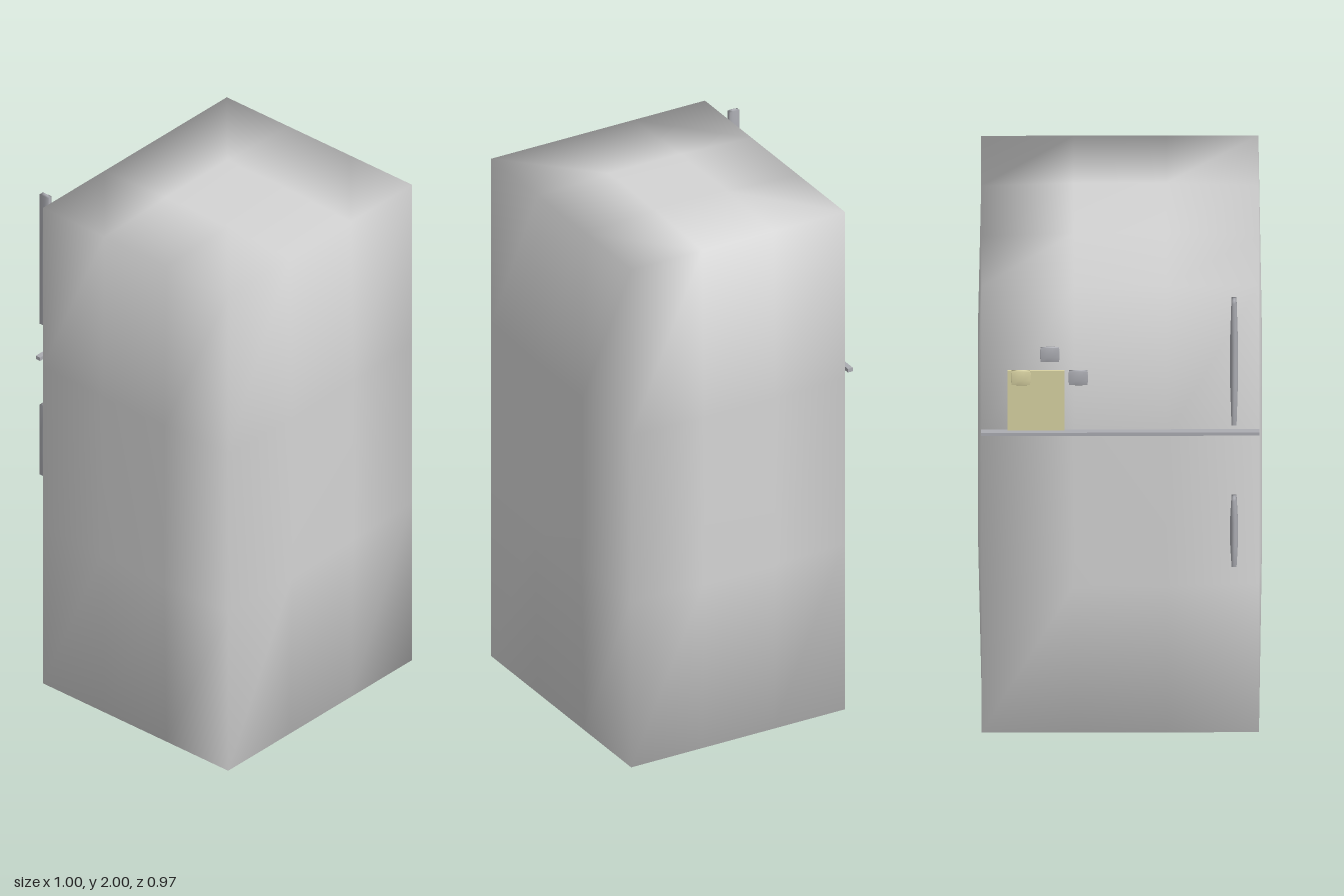
import * as THREE from 'three';
import { mergeVertices } from 'three/addons/utils/BufferGeometryUtils.js';

const material = (name, color) => {
  const m = new THREE.MeshStandardMaterial({ color });
  m.name = name;
  return m;
};

// Smooth-shaded box whose faces swell outward by b beyond straight edges
function pillowBox(w, h, d, b) {
  const half = [w / 2 - b, h / 2 - b, d / 2 - b];
  let g = new THREE.BoxGeometry(half[0] * 2, half[1] * 2, half[2] * 2, 3, 3, 3);
  g.deleteAttribute('uv');
  g.deleteAttribute('normal');
  g = mergeVertices(g, 1e-5);
  const p = g.attributes.position;
  for (let i = 0; i < p.count; i++) {
    const outer = [0, 1, 2].filter((a) => Math.abs(p.getComponent(i, a)) > half[a] - 1e-4);
    if (outer.length === 1) {
      const a = outer[0];
      p.setComponent(i, a, p.getComponent(i, a) + Math.sign(p.getComponent(i, a)) * b);
    }
  }
  g.computeVertexNormals();
  return g;
}

export function createModel() {
  const group = new THREE.Group();
  group.name = 'refrigerator';
  const enamel = material('enamel', 0xd4d4d4);
  const metal = material('metal', 0xabacb2);
  const paper = material('paper', 0xd8d2a2);

  const add = (name, geometry, mat, x, y, z) => {
    const mesh = new THREE.Mesh(geometry, mat);
    mesh.name = name;
    mesh.position.set(x, y, z);
    group.add(mesh);
  };

  // Cabinet, doors facing -z
  add('cabinet', pillowBox(1, 2, 0.895, 0.012), enamel, 0, 1, 0.0375);

  // Strip between freezer and main doors
  add('doorStrip', new THREE.BoxGeometry(0.98, 0.014, 0.02), metal, 0, 1.355, -0.419);

  // Door handles
  add('freezerHandle', pillowBox(0.028, 0.548, 0.05, 0.005), metal, -0.4, 1.703, -0.463);
  add('doorHandle', pillowBox(0.028, 0.3, 0.05, 0.005), metal, -0.4, 0.953, -0.463);

  // Note held on the freezer door
  add('note', new THREE.BoxGeometry(0.2, 0.265, 0.006), paper, 0.297, 1.4925, -0.412);

  // Magnets
  for (const [x, y, mat] of [[0.35, 1.6, paper], [0.248, 1.703, metal], [0.148, 1.6, metal]]) {
    add('magnet', pillowBox(0.07, 0.066, 0.014, 0.003), mat, x, y, -0.421);
  }
  return group;
}
